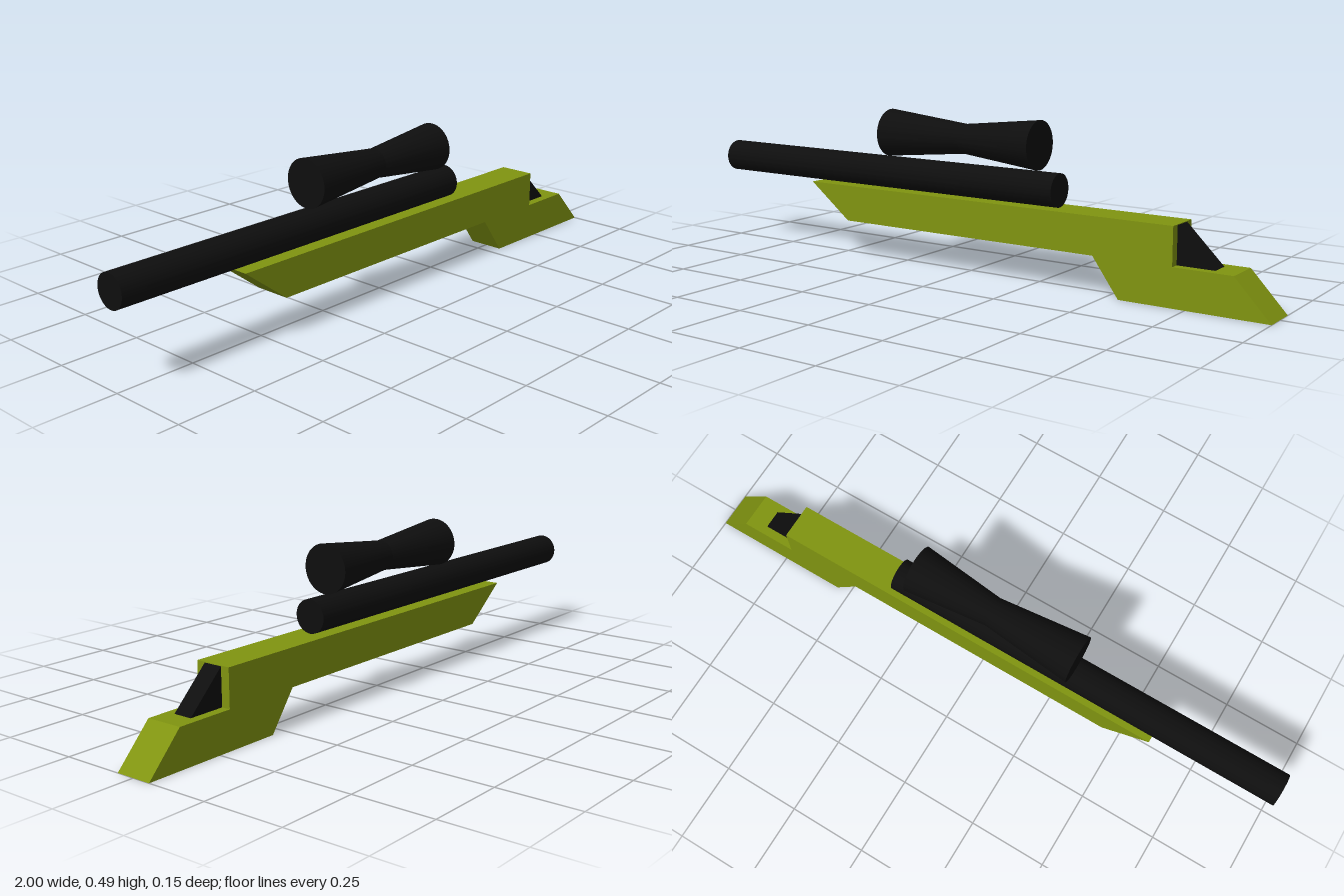
import * as THREE from 'three';
import { toCreasedNormals } from 'three/addons/utils/BufferGeometryUtils.js';

const olive = new THREE.MeshStandardMaterial({ color: 0x809410 });
const black = new THREE.MeshStandardMaterial({ color: 0x0e0e0e });

// Side profile in x/y, extruded to a given width centred on z = 0
function slab(name, profile, width, material) {
  const shape = new THREE.Shape(profile.map(([x, y]) => new THREE.Vector2(x, y)));
  const geometry = new THREE.ExtrudeGeometry(shape, { depth: width, bevelEnabled: false });
  geometry.translate(0, 0, -width / 2);
  const mesh = new THREE.Mesh(geometry, material);
  mesh.name = name;
  return mesh;
}

// Round part turned about the x direction; profile lists [x, radius]
function turned(name, profile, y) {
  const points = profile.map(([x, r]) => new THREE.Vector2(r, x));
  const geometry = toCreasedNormals(new THREE.LatheGeometry(points, 48), 0.18);
  geometry.rotateZ(-Math.PI / 2);
  const mesh = new THREE.Mesh(geometry, black);
  mesh.name = name;
  mesh.position.y = y;
  return mesh;
}

export function createModel() {
  const model = new THREE.Group();
  model.name = 'scopedRifle';

  // Stock with slanted fore-end and dropped butt
  model.add(slab('stock', [
    [-0.6, 0.232], [-0.45, 0.117], [0.46, 0.117], [0.545, 0],
    [1, 0], [0.89, 0.117], [0.71, 0.117], [0.71, 0.232],
  ], 0.116, olive));

  // Wedge in the notch behind the stock's step
  model.add(slab('wedge', [[0.71, 0.117], [0.825, 0.117], [0.71, 0.23]], 0.06, black));

  // Barrel resting on the stock
  model.add(turned('barrel', [[-1, 0], [-1, 0.051], [0.315, 0.051], [0.315, 0]], 0.283));

  // Scope, narrowing to a waist
  model.add(turned('scope', [
    [-0.31, 0], [-0.31, 0.075], [-0.02, 0.046], [0.245, 0.075], [0.245, 0],
  ], 0.411));

  return model;
}
